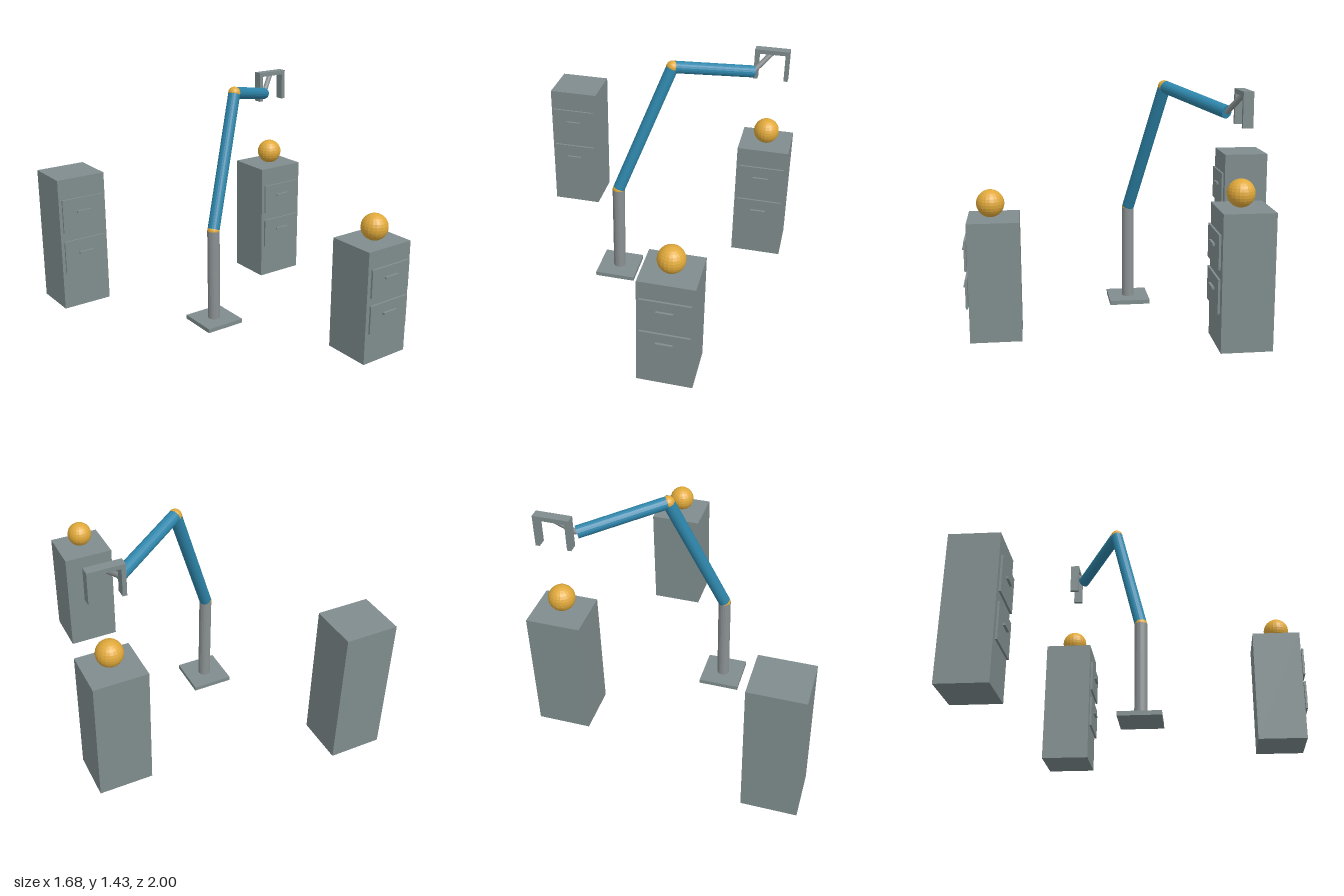
import * as THREE from 'three';

const mat = (name, color) => {
  const m = new THREE.MeshStandardMaterial({ color, flatShading: true });
  m.name = name;
  return m;
};

export function createModel() {
  const model = new THREE.Group();
  model.name = 'robotArmWithCabinets';
  const steel = mat('steelGrey', 0x7f8c8d);
  const pipe = mat('pipeGrey', 0x8a9092);
  const blue = mat('armBlue', 0x2e86ab);
  const amber = mat('amber', 0xe0a93b);

  const group = (name) => {
    const g = new THREE.Group();
    g.name = name;
    model.add(g);
    return g;
  };
  const add = (parent, name, geometry, material, x, y, z) => {
    const mesh = new THREE.Mesh(geometry, material);
    mesh.name = name;
    mesh.position.set(x, y, z);
    parent.add(mesh);
    return mesh;
  };
  const box = (parent, name, w, h, d, x, y, z) =>
    add(parent, name, new THREE.BoxGeometry(w, h, d), steel, x, y, z);
  const ball = (parent, name, r, p) =>
    add(parent, name, new THREE.SphereGeometry(r, 20, 14), amber, p.x, p.y, p.z);
  // Round bar between two points
  const bar = (parent, name, a, b, r, material) => {
    const dir = b.clone().sub(a);
    const mid = a.clone().add(b).multiplyScalar(0.5);
    const mesh = add(parent, name, new THREE.CylinderGeometry(r, r, dir.length(), 20),
      material, mid.x, mid.y, mid.z);
    mesh.quaternion.setFromUnitVectors(new THREE.Vector3(0, 1, 0), dir.normalize());
  };

  // Filing cabinets: two drawers each, sized in proportion to the height
  const cabinet = (name, x, front, height, hasBall) => {
    const g = group(name);
    const depth = 0.292;
    box(g, 'cabinetBody', 0.321, height, depth, x, height / 2, front - depth / 2);
    [0.407, 0.725].forEach((ratio) => {
      const y = height * ratio;
      box(g, 'drawerFront', 0.285, height * 0.25, 0.012, x, y, front + 0.012);
      box(g, 'drawerHandle', 0.097, 0.013, 0.014, x, y + 0.02, front + 0.025);
    });
    if (hasBall) ball(g, 'ball', 0.079, new THREE.Vector3(x, height + 0.08, front - 0.13));
  };
  cabinet('tallCabinet', -0.681, -0.708, 0.867, false);
  cabinet('shortCabinet', 0.364, 0.968, 0.687, true);
  cabinet('middleCabinet', 0.677, -0.393, 0.777, true);

  // Arm: base plate, pillar, two links and a wrist rod
  const arm = group('arm');
  const foot = new THREE.Vector3(-0.16, 0.026, 0);
  const shoulder = new THREE.Vector3(-0.16, 0.605, 0);
  const elbow = new THREE.Vector3(0.13, 1.388, -0.183);
  const wrist = new THREE.Vector3(0.573, 1.286, -0.458);
  const hand = new THREE.Vector3(0.677, 1.394, -0.525);
  box(arm, 'basePlate', 0.251, 0.026, 0.251, foot.x, 0.013, 0);
  bar(arm, 'pillar', foot, shoulder, 0.038, pipe);
  ball(arm, 'shoulderJoint', 0.038, shoulder);
  bar(arm, 'upperArm', shoulder, elbow, 0.037, blue);
  ball(arm, 'elbowJoint', 0.038, elbow);
  bar(arm, 'forearm', elbow, wrist, 0.037, blue);
  bar(arm, 'wristRod', wrist, hand, 0.016, pipe);

  // Gripper: crossbar with two hanging fingers
  const gripper = group('gripper');
  box(gripper, 'gripperBar', 0.211, 0.026, 0.056, hand.x, 1.402, hand.z);
  [-1, 1].forEach((s) =>
    box(gripper, 'gripperFinger', 0.025, 0.167, 0.056, hand.x + s * 0.093, 1.3055, hand.z));

  return model;
}
